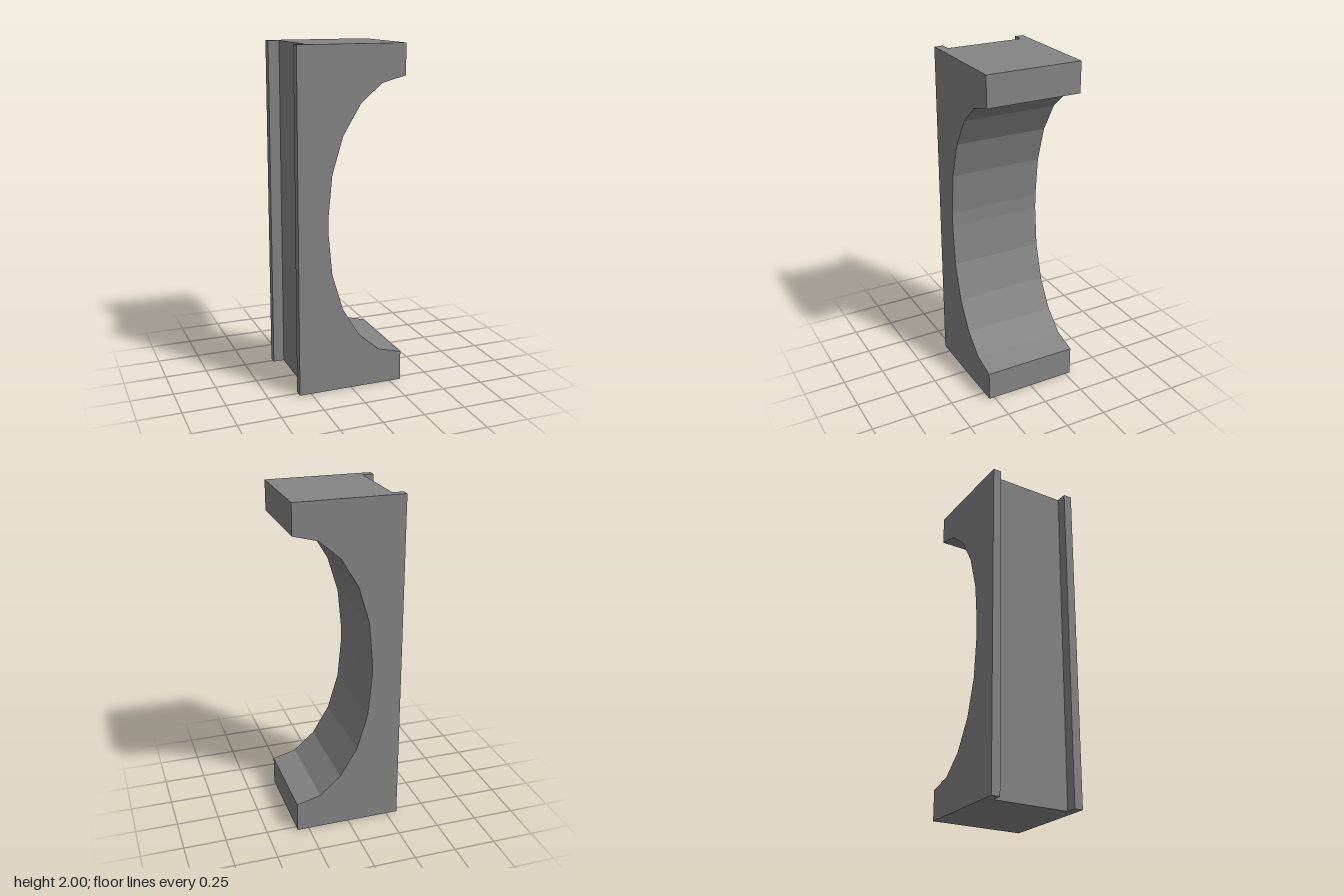
import * as THREE from 'three';

export function createModel() {
  const group = new THREE.Group();
  const material = new THREE.MeshStandardMaterial({ color: 0x848484, flatShading: true });

  const depth = 0.566, right = 0.319, left = -0.319, grooveX = -0.253;

  // Scooped opening: lower half from tip to middle, then its mirror image
  const lower = [[right, 0.178], [0.175, 0.216], [0.05, 0.325], [-0.053, 0.496], [-0.118, 0.712], [-0.141, 0.955]];
  const upper = lower.map(([x, y]) => [x, 2 - y]).reverse();
  const outline = [[grooveX, 0], [right, 0], ...lower, ...upper, [right, 2], [grooveX, 2]];

  // Main C-shaped block
  const shape = new THREE.Shape(outline.map(([x, y]) => new THREE.Vector2(x, y)));
  const bodyGeometry = new THREE.ExtrudeGeometry(shape, { depth, bevelEnabled: false });
  bodyGeometry.translate(0, 0, -depth / 2);
  const body = new THREE.Mesh(bodyGeometry, material);
  body.name = 'archedBlock';
  group.add(body);

  // Two full-height rails leaving a shallow channel between them
  const railDepth = 0.052, railWidth = grooveX - left;
  for (const side of [1, -1]) {
    const rail = new THREE.Mesh(new THREE.BoxGeometry(railWidth, 2, railDepth), material);
    rail.position.set((left + grooveX) / 2, 1, side * (depth - railDepth) / 2);
    rail.name = side > 0 ? 'frontRail' : 'backRail';
    group.add(rail);
  }
  return group;
}
